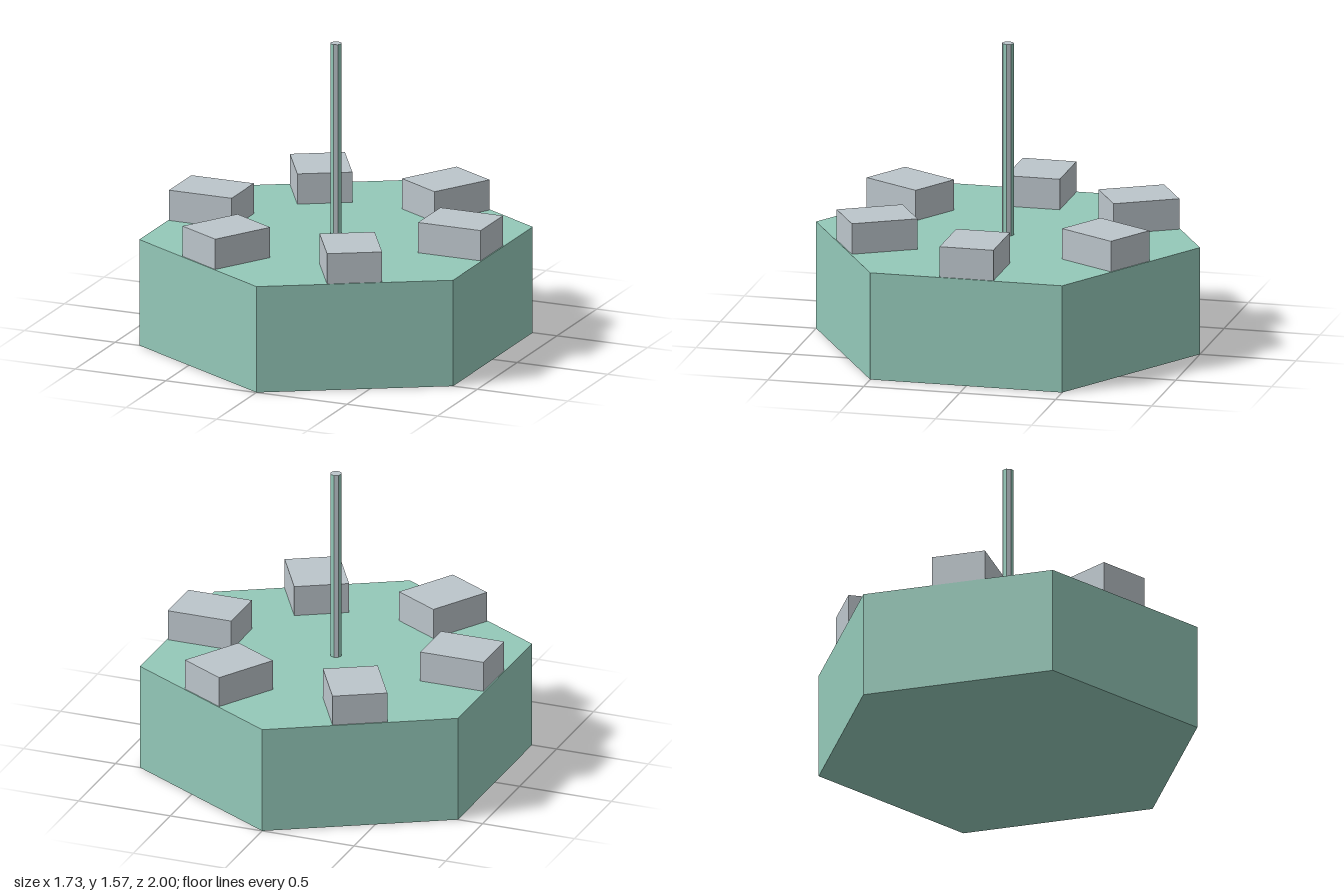
import * as THREE from 'three';

const green = new THREE.MeshStandardMaterial({ color: 0x94c9b9, flatShading: true });
green.name = 'pale green';
const grey = new THREE.MeshStandardMaterial({ color: 0xbcc5cb, flatShading: true });
grey.name = 'light grey';

const BASE_H = 0.56;
const BLOCK_H = 0.16;
const POLE_H = 1.005;
const POLE_SIDES = 8;

export function createModel() {
  const model = new THREE.Group();
  model.name = 'hexagonalPlatform';

  // Hexagonal base with corners towards front and back
  const base = new THREE.Mesh(new THREE.CylinderGeometry(1, 1, BASE_H, 6), green);
  base.name = 'base';
  base.position.y = BASE_H / 2;
  model.add(base);

  // One block at the middle of each side
  const blockGeometry = new THREE.BoxGeometry(0.345, BLOCK_H, 0.28);
  blockGeometry.translate(0.6875, BASE_H + BLOCK_H / 2, 0);
  for (let i = 0; i < 6; i++) {
    const block = new THREE.Mesh(blockGeometry, grey);
    block.name = `block${i + 1}`;
    block.rotation.y = (i * Math.PI) / 3;
    model.add(block);
  }

  // Central pole with facets in alternating colours
  const poleGeometry = new THREE.CylinderGeometry(0.03, 0.03, POLE_H, POLE_SIDES);
  poleGeometry.clearGroups();
  for (let i = 0; i < POLE_SIDES; i++) poleGeometry.addGroup(i * 6, 6, i % 2);
  poleGeometry.addGroup(POLE_SIDES * 6, POLE_SIDES * 6, 0);
  const pole = new THREE.Mesh(poleGeometry, [grey, green]);
  pole.name = 'pole';
  pole.position.y = BASE_H + POLE_H / 2;
  model.add(pole);

  return model;
}
